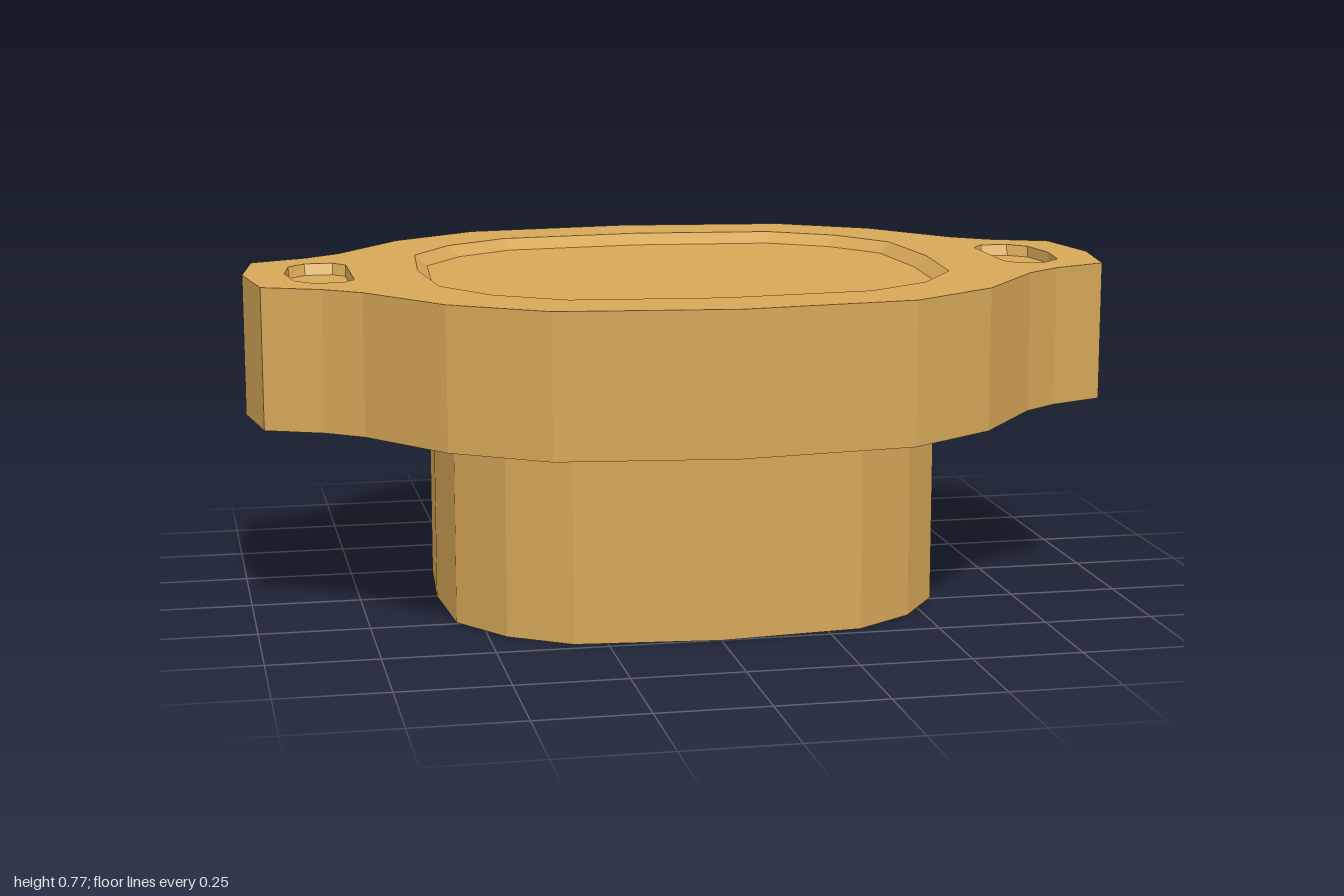
import * as THREE from 'three';
import { mergeGeometries } from 'three/addons/utils/BufferGeometryUtils.js';

const BOTTOM = 0.45, TOP = 0.77, FLOOR = 0.745;

// Full counterclockwise outline from one quarter, running from the +x axis to the z axis
function fourfold(quarter) {
  const half = [...quarter, ...quarter.slice(0, -1).reverse().map(([x, z]) => [-x, z])];
  return [...half, ...half.slice(1, -1).reverse().map(([x, z]) => [x, -z])];
}

// Mirror an outline in x, keeping it counterclockwise
const mirrorX = (ring) => ring.map(([x, z]) => [-x, z]).reverse();

// Flat wall between two matching outlines
function wall(ringA, yA, ringB, yB) {
  const pos = [];
  ringA.forEach((p, i) => {
    const j = (i + 1) % ringA.length;
    const a = [p[0], yA, -p[1]], b = [ringA[j][0], yA, -ringA[j][1]];
    const c = [ringB[j][0], yB, -ringB[j][1]], d = [ringB[i][0], yB, -ringB[i][1]];
    pos.push(...a, ...b, ...c, ...a, ...c, ...d);
  });
  const g = new THREE.BufferGeometry();
  g.setAttribute('position', new THREE.Float32BufferAttribute(pos, 3));
  g.computeVertexNormals();
  return g;
}

// Horizontal face, optionally with holes
function cap(ring, y, up = true, holes = []) {
  const points = (r) => r.map(([x, z]) => new THREE.Vector2(x, z));
  const shape = new THREE.Shape(points(ring));
  shape.holes = holes.map((h) => new THREE.Path(points(h)));
  let g = new THREE.ShapeGeometry(shape);
  g.rotateX(up ? -Math.PI / 2 : Math.PI / 2).translate(0, y, 0);
  g = g.toNonIndexed();
  g.deleteAttribute('uv');
  return g;
}

export function createModel() {
  const group = new THREE.Group();
  const tan = new THREE.MeshStandardMaterial({ color: 0xd6a758 });
  tan.name = 'tan';
  const add = (name, ...parts) => {
    const mesh = new THREE.Mesh(mergeGeometries(parts), tan);
    mesh.name = name;
    group.add(mesh);
  };

  // Outlines
  const flange = fourfold([[1, 0], [0.97, 0.195], [0.84, 0.25], [0.757, 0.312],
    [0.6, 0.515], [0.395, 0.65], [0, 0.697]]);
  const plug = fourfold([[0.572, 0], [0.555, 0.24], [0.46, 0.38], [0.325, 0.47], [0, 0.502]]);
  const rim = fourfold([[0.603, 0], [0.583, 0.25], [0.485, 0.4], [0.335, 0.5], [0, 0.535]]);
  const lip = rim.map(([x, z]) => [x * 0.98, z * 0.98]);
  const slot = [[0.905, 0], [0.89, 0.11], [0.85, 0.153], [0.785, 0.153], [0.757, 0.115],
    [0.757, -0.115], [0.785, -0.153], [0.85, -0.153], [0.89, -0.11]];
  const slotFloor = slot.map(([x, z]) => [0.83 + (x - 0.83) * 0.97, z * 0.91]);

  // Flange with two ears
  add('flange',
    wall(flange, BOTTOM, flange, TOP),
    cap(flange, BOTTOM, false),
    cap(flange, TOP, true, [rim, slot, mirrorX(slot)]));

  // Shallow recess in the top
  add('recess', wall(rim, TOP, plug, FLOOR), cap(plug, FLOOR));

  // Shallow slots in the ears
  add('leftSlot', wall(slot, TOP, slotFloor, FLOOR), cap(slotFloor, FLOOR));
  add('rightSlot', wall(mirrorX(slot), TOP, mirrorX(slotFloor), FLOOR), cap(mirrorX(slotFloor), FLOOR));

  // Plug below the flange, with a thin seam lip
  add('plug', wall(plug, 0, plug, BOTTOM), cap(plug, 0, false));
  add('seamLip', wall(lip, BOTTOM - 0.004, lip, BOTTOM), cap(lip, BOTTOM - 0.004, false, [plug]));

  return group;
}
